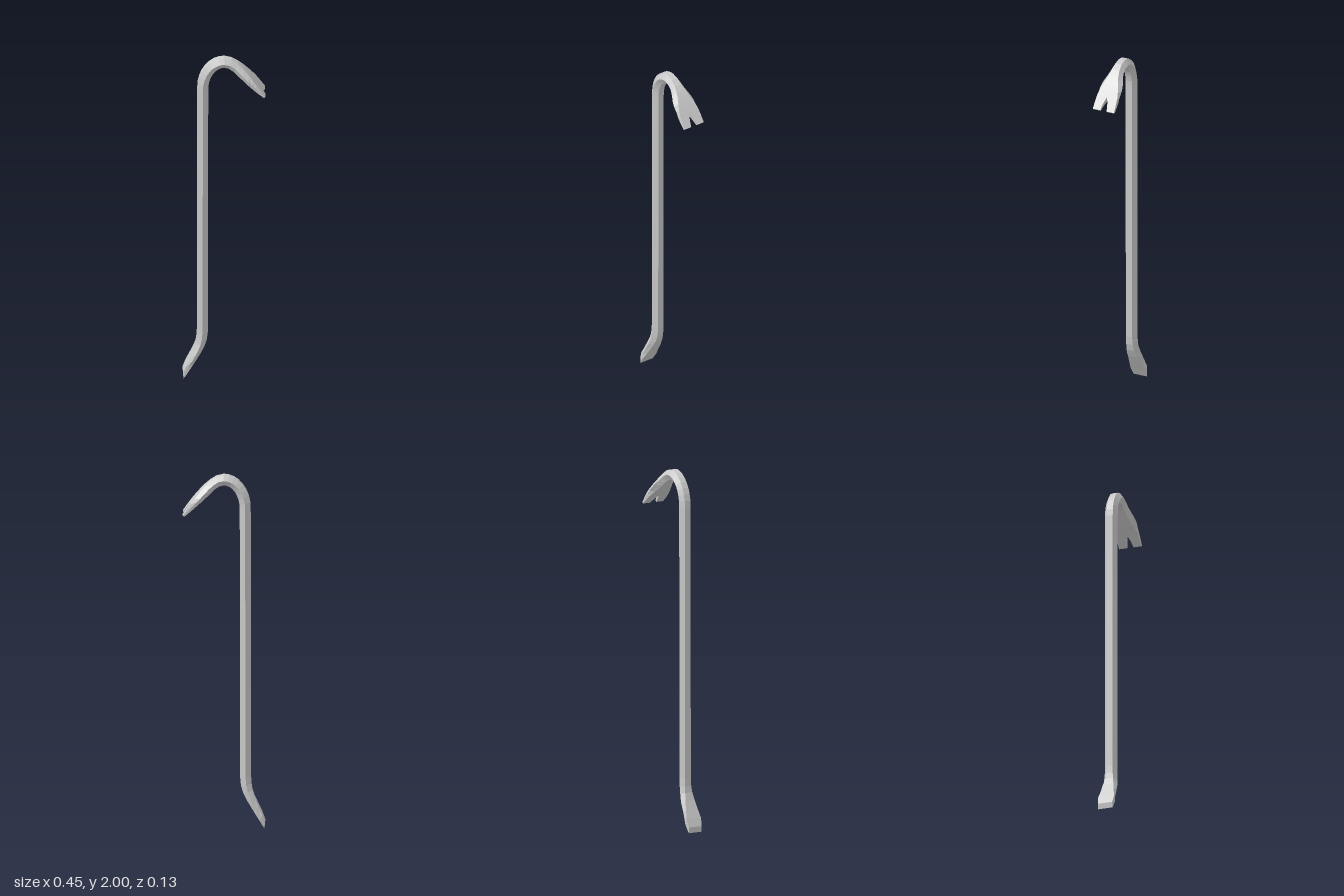
import * as THREE from 'three';

// Each station: outer x, y, inner x, y, half-width at the side ridge, half-width of the flats
const CHISEL = [
  [-0.228, 0.032, -0.224, 0, 0.041, 0.041],
  [-0.212, 0.075, -0.197, 0.045, 0.047, 0.046],
  [-0.190, 0.125, -0.164, 0.097, 0.047, 0.037],
  [-0.170, 0.172, -0.131, 0.150, 0.045, 0.029],
  [-0.157, 0.212, -0.107, 0.197, 0.039, 0.022],
  [-0.152, 0.248, -0.095, 0.237, 0.037, 0.019],
  [-0.150, 0.290, -0.090, 0.285, 0.036, 0.018],
];
const NECK = [
  [0.040, 1.990, 0.025, 1.936, 0.037, 0.019],
  [0.075, 1.967, 0.049, 1.920, 0.041, 0.023],
  [0.100, 1.944, 0.071, 1.900, 0.050, 0.029],
  [0.120, 1.922, 0.092, 1.880, 0.060, 0.036],
  [0.140, 1.898, 0.115, 1.860, 0.066, 0.046],
  [0.160, 1.872, 0.138, 1.841, 0.066, 0.056],
];
// Claw stations, with the half-gap of the V notch added at the end
const CLAW = [
  [0.178, 1.848, 0.160, 1.823, 0.066, 0.062, 0],
  [0.200, 1.817, 0.186, 1.800, 0.066, 0.064, 0.012],
  [0.225, 1.782, 0.217, 1.775, 0.065, 0.065, 0.020],
];

// Hexagonal section of the bar
function barSection([ox, oy, ix, iy, w, f]) {
  const mx = (ox + ix) / 2, my = (oy + iy) / 2;
  return [[ox, oy, -f], [ox, oy, f], [mx, my, w], [ix, iy, f], [ix, iy, -f], [mx, my, -w]];
}

// Section of one prong, on the +z or -z side of the notch
function prongSection([ox, oy, ix, iy, w, f, g], side) {
  const mx = (ox + ix) / 2, my = (oy + iy) / 2;
  const ring = [[ox, oy, g], [ox, oy, f], [mx, my, w], [ix, iy, f], [ix, iy, g]]
    .map(([x, y, z]) => [x, y, z * side]);
  return side > 0 ? ring : ring.reverse();
}

// Skins a row of closed sections, with optional end caps
function loft(name, rings, capStart, capEnd, material) {
  const n = rings[0].length, index = [];
  for (let i = 0; i < rings.length - 1; i++) {
    for (let j = 0; j < n; j++) {
      const a = i * n + j, b = i * n + (j + 1) % n;
      index.push(a, b, b + n, a, b + n, a + n);
    }
  }
  const last = (rings.length - 1) * n;
  for (let j = 1; j < n - 1; j++) {
    if (capStart) index.push(0, j + 1, j);
    if (capEnd) index.push(last, last + j, last + j + 1);
  }
  const geometry = new THREE.BufferGeometry();
  geometry.setAttribute('position', new THREE.Float32BufferAttribute(rings.flat(2), 3));
  geometry.setIndex(index);
  geometry.computeVertexNormals();
  const mesh = new THREE.Mesh(geometry, material);
  mesh.name = name;
  return mesh;
}

export function createModel() {
  const group = new THREE.Group();
  group.name = 'pryBar';
  const steel = new THREE.MeshStandardMaterial({ color: 0xcccccc, flatShading: true });

  // Rising half of the hook, from the straight shaft to the crown
  const hook = [];
  for (let i = 0; i <= 8; i++) {
    const a = Math.PI * (1 - i / 16), c = Math.cos(a), s = Math.sin(a);
    hook.push([0.148 * c, 1.81 + 0.19 * s, 0.088 * c, 1.81 + 0.132 * s, 0.037, 0.018]);
  }

  // Chisel foot, shaft, hook and neck in one continuous bar
  const stations = [...CHISEL, ...hook, ...NECK, CLAW[0]];
  group.add(loft('bar', stations.map(barSection), true, false, steel));

  // Two prongs either side of the nail notch
  for (const side of [1, -1]) {
    const rings = CLAW.map((s) => prongSection(s, side));
    group.add(loft(side > 0 ? 'frontProng' : 'backProng', rings, false, true, steel));
  }
  return group;
}
